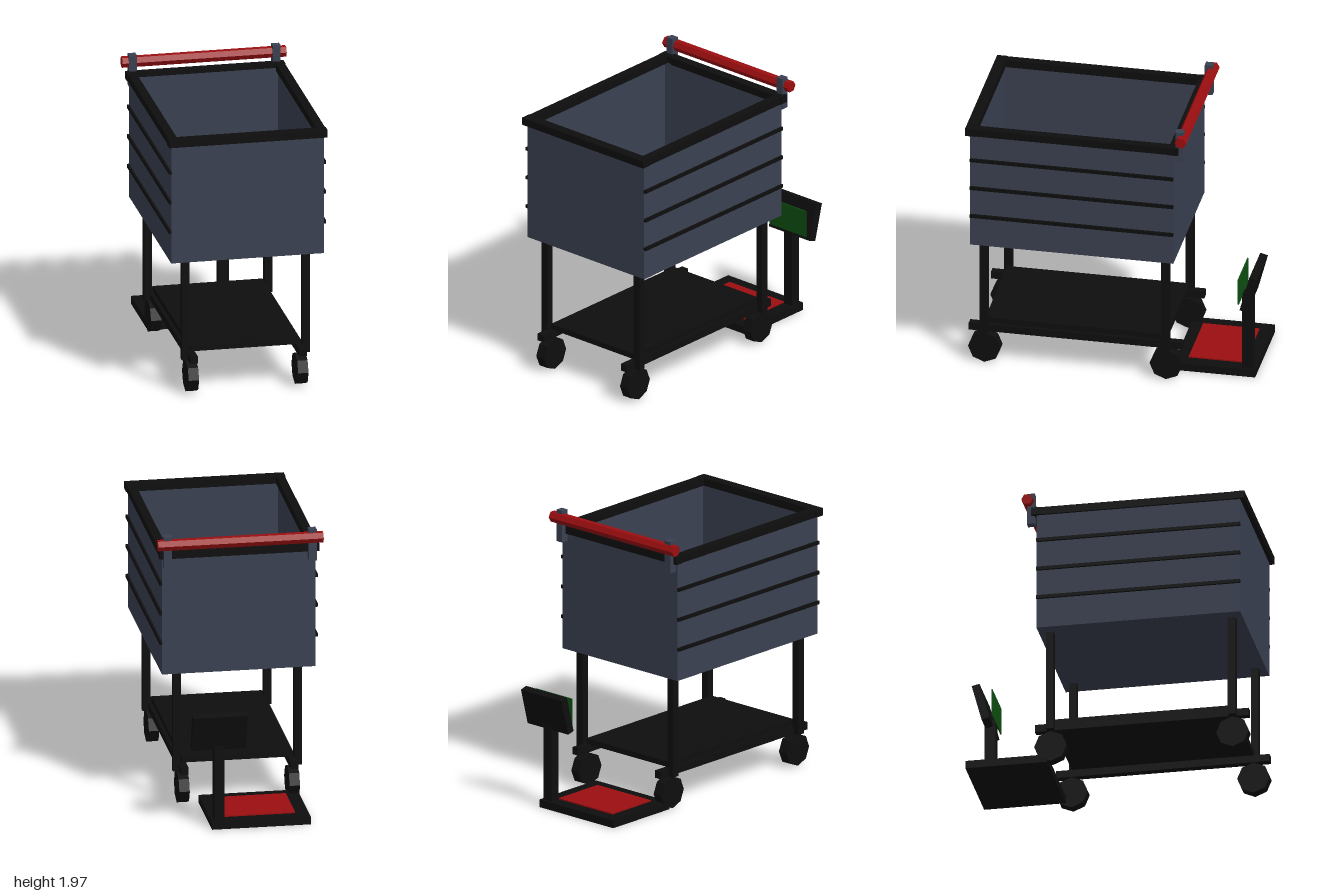
import * as THREE from 'three';

function paint(name, color) {
  const m = new THREE.MeshStandardMaterial({ color });
  m.name = name;
  return m;
}

export function createModel() {
  const slate = paint('slate', 0x3b4152);
  const black = paint('black', 0x0e0e0e);
  const red = paint('red', 0x9c0e10);
  const green = paint('green', 0x0e5011);
  const model = new THREE.Group();
  model.name = 'weighingCart';

  function add(name, geometry, material) {
    const mesh = new THREE.Mesh(geometry, material);
    mesh.name = name;
    model.add(mesh);
    return mesh;
  }

  // Box given by its lower and upper limits on each axis
  function box(name, material, [x0, x1], [y0, y1], [z0, z1]) {
    const mesh = add(name, new THREE.BoxGeometry(x1 - x0, y1 - y0, z1 - z0), material);
    mesh.position.set((x0 + x1) / 2, (y0 + y1) / 2, (z0 + z1) / 2);
    return mesh;
  }

  // Round bar along x with few flat sides, one corner pointing up
  function xPrism(name, material, radius, length, sides, x, y, z) {
    const geometry = new THREE.CylinderGeometry(radius, radius, length, sides).toNonIndexed();
    geometry.rotateZ(Math.PI / 2);
    geometry.computeVertexNormals();
    add(name, geometry, material).position.set(x, y, z);
  }

  // Open bin
  box('binFloor', slate, [-0.53, 0.53], [0.955, 0.985], [-0.445, 0.965]);
  box('binFrontWall', slate, [-0.53, 0.53], [0.985, 1.82], [0.935, 0.965]);
  box('binBackWall', slate, [-0.53, 0.53], [0.985, 1.82], [-0.445, -0.415]);
  box('rimFront', black, [-0.55, 0.55], [1.797, 1.85], [0.925, 0.997]);
  box('rimBack', black, [-0.55, 0.55], [1.797, 1.85], [-0.48, -0.415]);

  for (const s of [-1, 1]) {
    const side = s > 0 ? 'left' : 'right';
    const span = (a, b) => (s > 0 ? [a, b] : [-b, -a]);

    // Bin sides, ribs and rim
    box(side + 'BinWall', slate, span(0.5, 0.53), [0.985, 1.82], [-0.415, 0.935]);
    box(side + 'Rim', black, span(0.485, 0.545), [1.797, 1.85], [-0.415, 0.925]);
    for (const y of [1.18, 1.394, 1.608]) {
      box(side + 'Rib', black, span(0.525, 0.545), [y - 0.012, y + 0.012], [-0.445, 0.965]);
    }

    // Undercarriage
    box(side + 'Rail', black, span(0.352, 0.405), [0.233, 0.285], [-0.48, 1]);
    for (const z of [0.89, -0.37]) {
      box(side + 'Leg', black, span(0.392, 0.445), [0.233, 0.96], [z - 0.027, z + 0.027]);
      xPrism(side + 'Wheel', black, 0.113, 0.072, 8, s * 0.38, 0.114, z);
    }

    // Handle bracket
    box(side + 'HandleBracket', slate, span(0.472, 0.526), [1.74, 1.965], [-0.513, -0.458]);
  }

  xPrism('handle', red, 0.04, 1.14, 6, 0, 1.907, -0.503);
  box('lowerShelf', black, [-0.38, 0.38], [0.286, 0.326], [-0.37, 0.89]);

  // Floor scale behind the cart
  box('scaleBase', black, [-0.41, 0.27], [0, 0.055], [-0.96, -0.395]);
  box('scalePlate', red, [-0.317, 0.176], [0.055, 0.064], [-0.87, -0.48]);
  box('scalePost', black, [0.18, 0.252], [0.05, 0.625], [-0.94, -0.866]);

  // Tilted display with its upright screen
  const display = add('display', new THREE.BoxGeometry(0.375, 0.265, 0.055), black);
  display.position.set(0.218, 0.7, -0.94);
  display.rotation.x = -0.26;
  box('screen', green, [0.055, 0.382], [0.608, 0.8], [-0.87, -0.862]);

  return model;
}
